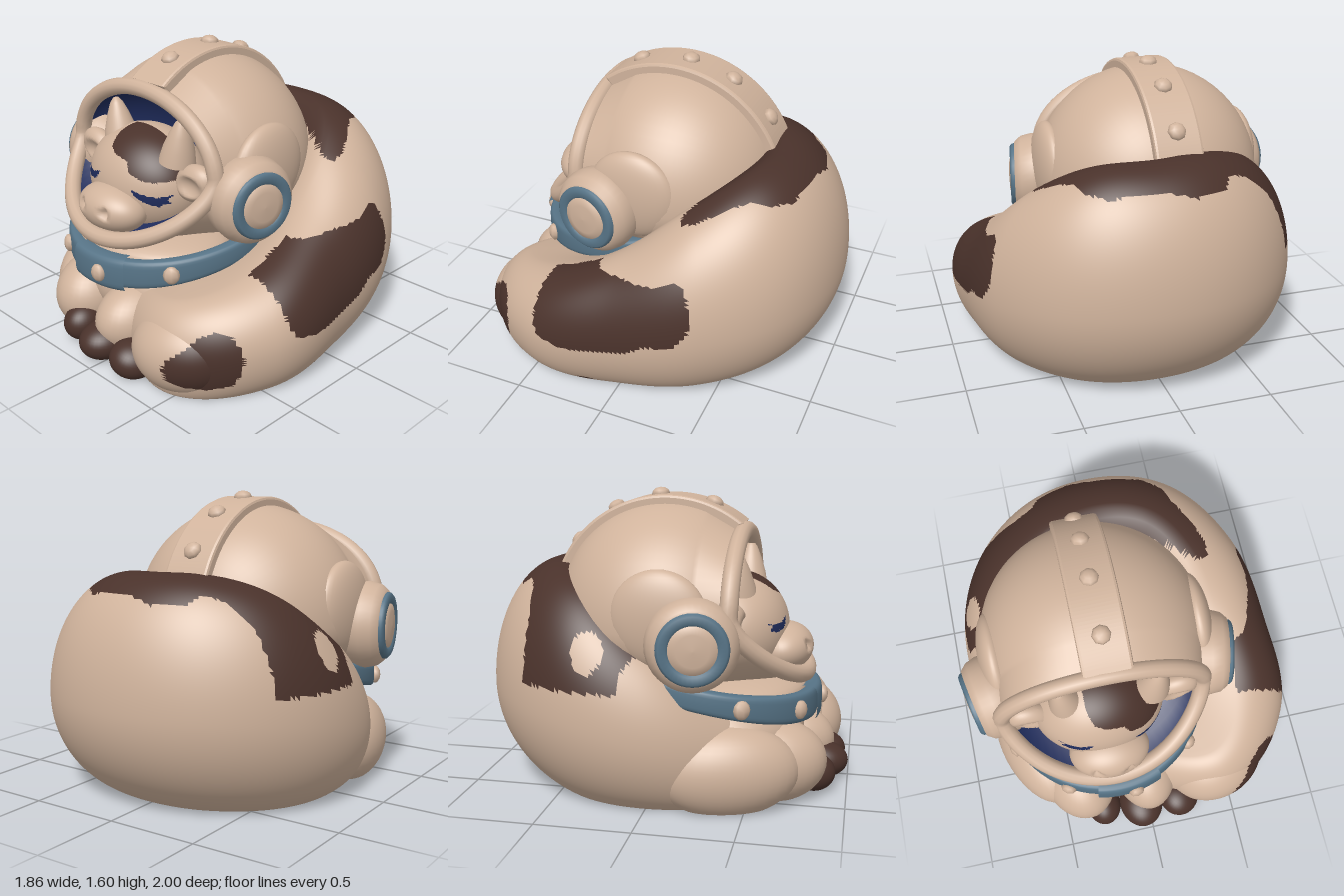
import * as THREE from 'three';
import { ParametricGeometry } from 'three/addons/geometries/ParametricGeometry.js';

const { sin, cos, abs, sqrt, max, floor, PI } = Math;
const lerp = THREE.MathUtils.lerp;
const mat = (name, color) => Object.assign(new THREE.MeshStandardMaterial({ color }), { name });

// Smooth periodic lookup in a table of twelve values, one every 30 degrees from the front.
function around(table, a) {
  const f = ((a / (2 * PI)) * 12 + 12) % 12, i = floor(f), t = f - i;
  const [p, q, r, s] = [-1, 0, 1, 2].map(k => table[(i + k + 12) % 12]);
  return q + 0.5 * t * (r - p + t * (2 * p - 5 * q + 4 * r - s + t * (3 * (q - r) + s - p)));
}

function inside(poly, x, y) {
  let hit = false;
  poly.forEach(([ax, ay], i) => {
    const [bx, by] = poly[(i + poly.length - 1) % poly.length];
    if ((ay > y) !== (by > y) && x < ((bx - ax) * (y - ay)) / (by - ay) + ax) hit = !hit;
  });
  return hit;
}

// Sort triangles into material groups by the colour number at their centre.
function paint(geo, count, pick) {
  const p = geo.attributes.position, ix = geo.index.array;
  const lists = Array.from({ length: count }, () => []);
  for (let i = 0; i < ix.length; i += 3) {
    const t = [ix[i], ix[i + 1], ix[i + 2]];
    const mid = get => t.reduce((s, k) => s + p[get](k), 0) / 3;
    lists[pick(mid('getX'), mid('getY'), mid('getZ'))].push(...t);
  }
  geo.setIndex(lists.flat());
  let start = 0;
  lists.forEach((l, i) => { geo.addGroup(start, l.length, i); start += l.length; });
  return geo;
}

// Ellipsoid resting on the floor where it would pass below it.
function ellipsoid([x, y, z], [a, b, c], rot = [0, 0, 0], w = 36, h = 24) {
  const g = new THREE.SphereGeometry(1, w, h).scale(a, b, c);
  g.rotateX(rot[0]).rotateY(rot[1]).rotateZ(rot[2]).translate(x, y, z);
  const p = g.attributes.position;
  for (let i = 0; i < p.count; i++) p.setY(i, max(0, p.getY(i)));
  return g;
}

// Press a soft dimple into the front of a geometry.
function dent(g, x, y, rx, ry, depth, zMin) {
  const p = g.attributes.position;
  for (let i = 0; i < p.count; i++) {
    const d = ((p.getX(i) - x) / rx) ** 2 + ((p.getY(i) - y) / ry) ** 2;
    if (d < 1 && p.getZ(i) > zMin) p.setZ(i, p.getZ(i) - depth * (1 - d));
  }
  g.computeVertexNormals();
  return g;
}

export function createModel() {
  const tan = mat('tan', 0xd0b39c), brown = mat('brown', 0x4a322b);
  const blue = mat('slateBlue', 0x577487), navy = mat('navy', 0x1f2c5c);
  navy.side = THREE.DoubleSide;
  const model = new THREE.Group();
  const add = (name, geo, m = tan, parent = model) => {
    const mesh = new THREE.Mesh(geo, m);
    mesh.name = name;
    parent.add(mesh);
    return mesh;
  };

  // Curled body: one profile swept around, with reach, height and crest varying by angle
  const reach = [0.76, 1.02, 1.03, 0.92, 0.95, 1.0, 1.0, 0.99, 0.95, 0.88, 0.8, 0.74];
  const height = [0.38, 0.47, 0.6, 0.79, 1.02, 1.17, 1.2, 1.19, 1.1, 0.86, 0.6, 0.42];
  const crest = [0.75, 0.8, 0.68, 0.62, 0.6, 0.6, 0.6, 0.6, 0.62, 0.66, 0.7, 0.75];
  const foot = [0.95, 0.96, 0.89, 0.83, 0.76, 0.7, 0.68, 0.7, 0.75, 0.8, 0.88, 0.95];
  const bodyGeo = new ParametricGeometry((u, v, out) => {
    const a = u * 2 * PI, H = around(height, a), C = around(crest, a), B = around(foot, a), W = 0.45 * H;
    let r, y;
    if (v < 0.1) { r = B * max(0.002, v / 0.1); y = 0; }
    else if (v < 0.45) {
      const t = (v - 0.1) / 0.35;
      r = B + (1 - B) * sin(t * PI / 2);
      y = W * (t + 1 - cos(t * PI / 2)) / 2;
    } else if (v < 0.85) {
      const s = ((v - 0.45) / 0.4) * PI / 2;
      r = C + (1 - C) * cos(s);
      y = W + (H - W) * sin(s);
    } else {
      const t = (v - 0.85) / 0.15;
      r = C * max(0.002, 1 - t);
      y = lerp(H, 0.45, t * t * (3 - 2 * t));
    }
    r *= around(reach, a);
    out.set(r * sin(a), y, r * cos(a));
  }, 230, 90);
  const backPatch = [[-0.93, -0.14], [-0.89, -0.4], [-0.82, -0.55], [-0.73, -0.63], [-0.6, -0.63], [-0.45, -0.66],
    [-0.35, -0.7], [-0.3, -0.78], [-0.13, -0.83], [0.1, -0.8], [0.3, -0.77], [0.39, -0.69], [0.42, -0.6], [0.52, -0.45],
    [0.57, -0.35], [0.57, -0.27], [0.5, -0.26], [0.3, -0.38], [0, -0.4], [-0.5, -0.2], [-0.7, 0], [-0.82, -0.1]];
  const sidePatch = [[0.44, 0.55], [0.44, 0.4], [0.41, 0.34], [0.36, 0.32], [0.25, 0.3], [0.05, 0.33], [-0.1, 0.36],
    [-0.2, 0.42], [-0.36, 0.45], [-0.42, 0.52], [-0.43, 0.62], [-0.4, 0.72], [-0.36, 0.78], [-0.3, 0.78], [-0.22, 0.74],
    [0, 0.72], [0.2, 0.69], [0.36, 0.65], [0.42, 0.61]];
  const haunchPatch = [[0.5, 0.2], [0.52, 0.13], [0.58, 0.1], [0.66, 0.08], [0.76, 0.11], [0.8, 0.18], [0.81, 0.26],
    [0.79, 0.33], [0.75, 0.38], [0.68, 0.4], [0.62, 0.36], [0.58, 0.29], [0.52, 0.24]];
  const bodyColour = (x, y, z) => {
    const hole = (x + 0.79) ** 2 / 0.0025 + (z + 0.27) ** 2 / 0.0064 < 1;
    return +((y > 0.64 && inside(backPatch, x, z) && !hole) || (x > 0.61 && inside(sidePatch, z, y)) ||
      (z > 0.4 && inside(haunchPatch, x, y)) ||
      (x > 0 && ((z - 0.17) / 0.05) ** 2 + ((y - 0.05) / 0.012) ** 2 < 1));
  };
  add('body', paint(bodyGeo, 2, bodyColour), [tan, brown]);

  // Chest, legs and paws
  add('chest', ellipsoid([-0.15, 0.32, 0.36], [0.52, 0.3, 0.4]));
  add('haunch', paint(ellipsoid([0.43, 0.19, 0.67], [0.31, 0.24, 0.27], [0, 0.35, 0.15], 64, 48), 2, bodyColour), [tan, brown]);
  add('hindLegRight', ellipsoid([-0.6, 0.2, 0.4], [0.2, 0.24, 0.38], [0, 0.3, 0]));
  add('frontLegRight', ellipsoid([-0.39, 0.2, 0.62], [0.21, 0.22, 0.28], [0, 0.25, 0]));
  add('frontLegLeft', ellipsoid([0.01, 0.2, 0.64], [0.19, 0.2, 0.28]));
  add('pawRight', ellipsoid([-0.27, 0.105, 0.82], [0.1, 0.105, 0.12]), brown);
  add('pawLeft', ellipsoid([-0.045, 0.1, 0.84], [0.13, 0.105, 0.16]), brown);
  add('hindPaw', ellipsoid([0.19, 0.085, 0.85], [0.12, 0.1, 0.13], [0, -0.4, -0.3]), brown);

  // Helmet shell, from the back pole round to the visor opening
  const helmet = new THREE.Group();
  helmet.name = 'helmet';
  model.add(helmet);
  const rim = a => {
    const s = sin(a);
    return new THREE.Vector3(-0.175 + 0.545 * cos(a), 1 + (s > 0 ? 0.38 : 0.355) * s, 0.42 + (s < 0 ? 0.35 * (-s) ** 1.4 : 0));
  };
  add('helmetShell', new ParametricGeometry((u, v, out) => {
    const a = u * 2 * PI, t = max(0.002, v * 1.25), p = Math.min(t, 1) * 1.92;
    out.set(-0.15 + 0.62 * sin(p) * cos(a), 0.92 + (sin(a) > 0 ? 0.61 : 0.42) * sin(p) * sin(a), 0.02 - 0.61 * cos(p));
    if (t > 1) out.lerp(rim(a), (t - 1) * 4);
  }, 64, 40), tan, helmet);
  add('helmetChin', ellipsoid([-0.165, 0.56, 0.4], [0.5, 0.11, 0.37]), tan, helmet);
  add('helmetLining', new ParametricGeometry((u, v, out) => {
    const t = Math.min(v, 0.998);
    out.copy(rim(u * 2 * PI)).lerp(new THREE.Vector3(-0.175, 1.0, 0.42), t);
    out.z -= 0.34 * sqrt(1 - (1 - t) ** 2);
  }, 64, 16), navy, helmet);
  const rimPoints = Array.from({ length: 32 }, (_, i) => rim((i / 32) * 2 * PI));
  add('visorRim', new THREE.TubeGeometry(new THREE.CatmullRomCurve3(rimPoints, true), 96, 0.046, 12, true), tan, helmet);

  // Raised strap over the top with studs
  const arc = new THREE.Shape();
  arc.absarc(0, 0, 0.63, 0.92, 2.76, false);
  arc.absarc(0, 0, 0.56, 2.76, 0.92, true);
  const strap = new THREE.ExtrudeGeometry(arc, { depth: 0.23, bevelSize: 0.015, bevelThickness: 0.015, bevelSegments: 2, curveSegments: 32 });
  add('helmetStrap', strap.rotateY(-PI / 2).translate(-0.025, 0.92, 0.02), tan, helmet);
  for (const a of [1.2, 1.66, 2.06, 2.5])
    add('strapStud', ellipsoid([-0.14, 0.92 + 0.645 * sin(a), 0.02 + 0.645 * cos(a)], [0.05, 0.035, 0.05], [PI / 2 - a, 0, 0], 8, 6), tan, helmet);

  // Side mounts and round ear covers
  const lathe = pts => new THREE.LatheGeometry(pts.map(p => new THREE.Vector2(...p)), 40);
  for (const s of [-1, 1]) {
    add('earMount', ellipsoid([-0.15 + s * 0.55, 0.99, 0.07], [0.09, 0.25, 0.25]), tan, helmet);
    const cover = new THREE.Group();
    cover.name = 'earCover';
    add('coverBase', lathe([[0.19, -0.16], [0.225, -0.1], [0.235, -0.02], [0.22, 0.04], [0.19, 0.075], [0.165, 0.08]]), tan, cover);
    add('coverRing', lathe([[0.18, 0.065], [0.178, 0.09], [0.165, 0.102], [0.13, 0.102], [0.115, 0.085]]), blue, cover);
    add('coverCap', lathe([[0.122, 0.08], [0.118, 0.098], [0.08, 0.108], [0, 0.112]]), tan, cover);
    cover.rotation.set(0, -s * 0.2, -s * PI / 2, 'YZX');
    cover.position.set(-0.155 + s * 0.63, 0.885, 0.255);
    helmet.add(cover);
  }

  // Head with painted forehead patch and closed eyes
  const head = new THREE.Group();
  head.name = 'head';
  model.add(head);
  const headGeo = ellipsoid([-0.2, 0.87, 0.38], [0.36, 0.3, 0.29], [0, 0, 0], 170, 110);
  const brow = [[-0.28, 1.2], [-0.28, 1.13], [-0.25, 1.08], [-0.2, 1.06], [-0.1, 1.04], [-0.07, 0.99], [0, 0.96], [0.06, 0.95],
    [0.13, 0.96], [0.16, 1.05], [0.05, 1.16], [-0.1, 1.2]];
  const eyes = [[[-0.46, 0.94], [-0.42, 0.925], [-0.44, 0.9], [-0.4, 0.888], [-0.34, 0.892], [-0.3, 0.915], [-0.275, 0.952],
    [-0.34, 0.932], [-0.4, 0.928]],
  [[-0.045, 0.91], [-0.02, 0.87], [0.03, 0.84], [0.08, 0.82], [0.1, 0.835], [0.125, 0.835], [0.115, 0.86], [0.13, 0.885],
    [0.08, 0.872], [0.02, 0.886]]];
  paint(headGeo, 3, (x, y, z) => (z < 0.38 ? 0 : eyes.some(e => inside(e, x, y)) ? 2 : +inside(brow, x, y)));
  add('face', headGeo, [tan, brown, navy], head);
  const muzzle = ellipsoid([-0.19, 0.77, 0.64], [0.22, 0.132, 0.16], [-0.15, 0, 0], 56, 40);
  dent(muzzle, -0.28, 0.8, 0.025, 0.035, 0.04, 0.64);
  dent(muzzle, -0.1, 0.79, 0.025, 0.035, 0.04, 0.64);
  add('muzzle', muzzle, tan, head);
  for (const s of [-1, 1]) {
    const ear = ellipsoid([-0.175 + s * 0.39, 0.955, 0.42], [0.135, 0.1, 0.07], [0, 0, s * 0.45]);
    add('ear', dent(ear, -0.175 + s * 0.4, 0.95, 0.085, 0.06, 0.04, 0.42), tan, head);
    const horn = lathe([[0.1, -0.06], [0.085, 0.02], [0.06, 0.1], [0.035, 0.16], [0.015, 0.185], [0, 0.19]]);
    add('horn', horn.rotateZ(-s * 0.18).translate(-0.14 + s * 0.235, 1.1, 0.42), tan, head);
  }

  // Collar band with buckle plate and studs
  const collarAt = (a, grow = 0) => new THREE.Vector3(-0.16 + (0.565 + grow) * sin(a), 0.485 + 0.13 * (1 - cos(a)), 0.2 + (0.59 + grow) * cos(a));
  const band = (a0, a1, half, thick) => new ParametricGeometry((u, v, out) => {
    const a = lerp(a0, a1, u), w = v * 2 * PI, round = c => Math.sign(c) * sqrt(abs(c));
    out.copy(collarAt(a, thick * round(cos(w))));
    out.y += half * (1 - 0.25 * abs(sin(a)) ** 3) * round(sin(w));
  }, 48, 24);
  add('collar', band(-1.9, 1.9, 0.08, 0.04), blue);
  add('collarBuckle', band(-0.22, 0.38, 0.094, 0.06), blue);
  for (const [a, g] of [[-1.1, 0.045], [-0.5, 0.045], [0.13, 0.065], [0.79, 0.045]])
    add('collarStud', ellipsoid(collarAt(a, g).toArray(), [0.045, 0.05, 0.03], [0, a, 0], 8, 6));

  return model;
}
